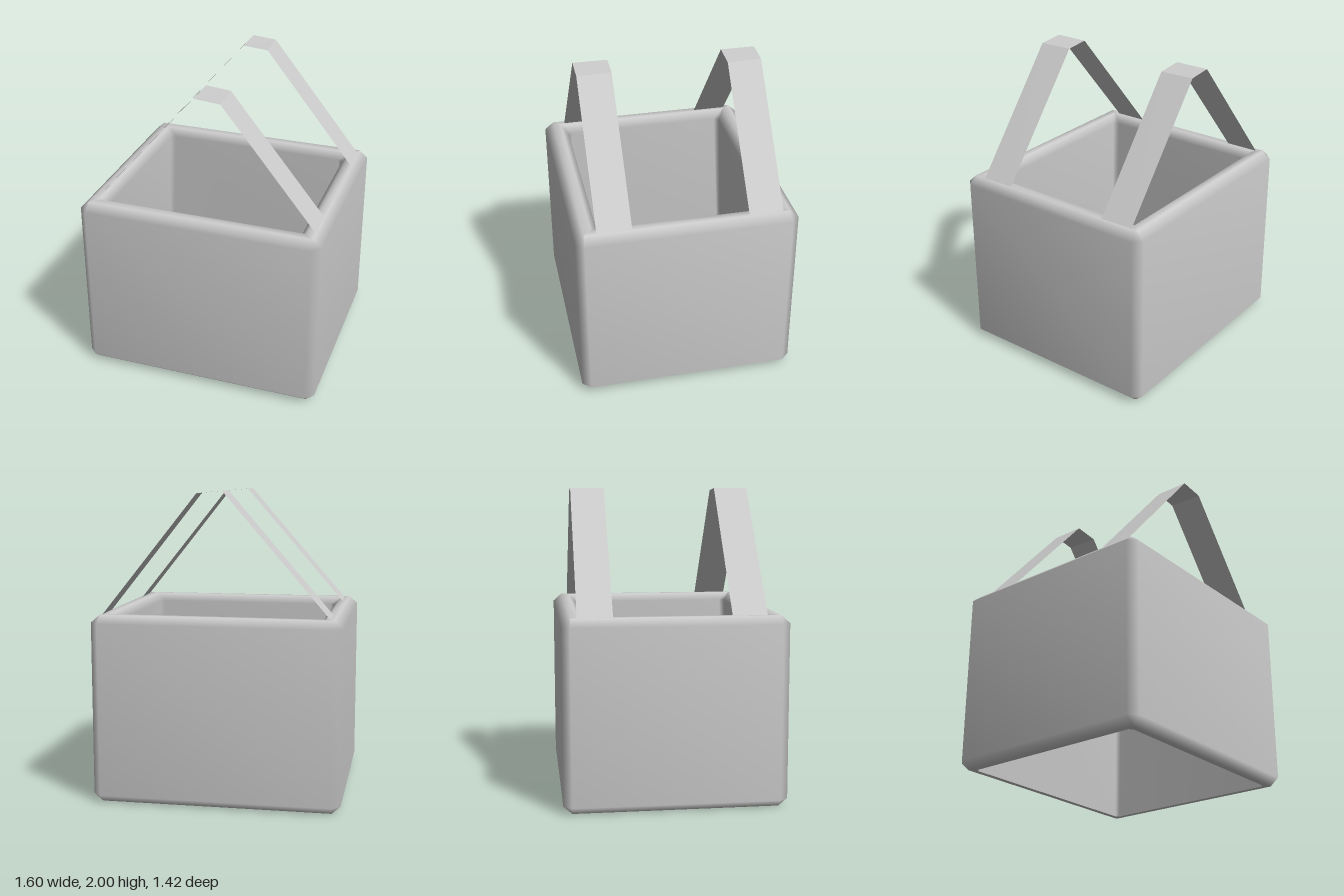
import * as THREE from 'three';

const grey = { color: 0xcccccc, side: THREE.DoubleSide };

// Indexed grid of triangles between successive cross-sections
function loft(rings, closed) {
  const n = rings[0].length, index = [];
  for (let r = 0; r < rings.length - 1; r++) {
    for (let k = 0; k < (closed ? n : n - 1); k++) {
      const a = r * n + k, b = r * n + (k + 1) % n;
      index.push(a, b, a + n, b, b + n, a + n);
    }
  }
  const geo = new THREE.BufferGeometry();
  geo.setAttribute('position', new THREE.Float32BufferAttribute(rings.flat(2), 3));
  geo.setIndex(index);
  return geo;
}

// Rectangle with chamfered corners, set in from the outer size
function ring([inset, y, c]) {
  const x = 0.8 - inset, z = 0.71 - inset;
  return [
    [x, y, z - c], [x, y, -z + c], [x - c, y, -z], [-x + c, y, -z],
    [-x, y, -z + c], [-x, y, z - c], [-x + c, y, z], [x - c, y, z],
  ];
}

// Hollow body, open at both ends: bottom edge, outside, rim, inside
function makeBody() {
  const profile = [ // inset, height, corner chamfer
    [0.09, 0, 0.02], [0.055, 0, 0.004], [0, 0.05, 0.053],
    [0, 1.17, 0.053], [0.055, 1.22, 0.004], [0.11, 1.22, 0.004],
    [0.155, 1.17, 0.03], [0.09, 0, 0.02],
  ];
  const geo = loft(profile.map(ring), true);
  geo.computeVertexNormals();
  const body = new THREE.Mesh(geo, new THREE.MeshStandardMaterial(grey));
  body.name = 'basketBody';
  return body;
}

// Thin folded strap: long left arm, short flat grip, long right arm
function makeHandle(zBack, name) {
  const path = [[-0.715, 1.22, 0], [-0.04, 2, 0], [0.12, 1.985, 0.01], [0.735, 1.22, 0.006]];
  const sections = path.map(([x, y, skew]) => [[x, y, zBack], [x + skew, y, zBack + 0.222]]);
  const geo = loft(sections, false).toNonIndexed();
  // face the strap outward
  const p = geo.attributes.position;
  for (let i = 0; i < p.count; i += 3) {
    const b = new THREE.Vector3().fromBufferAttribute(p, i + 1);
    const c = new THREE.Vector3().fromBufferAttribute(p, i + 2);
    p.setXYZ(i + 1, c.x, c.y, c.z);
    p.setXYZ(i + 2, b.x, b.y, b.z);
  }
  geo.computeVertexNormals();
  if (geo.attributes.normal.getY(0) < 0) geo.scale(1, 1, 1);
  const handle = new THREE.Mesh(geo, new THREE.MeshStandardMaterial({ ...grey, flatShading: true }));
  handle.name = name;
  return handle;
}

export function createModel() {
  const model = new THREE.Group();
  model.name = 'basket';
  model.add(makeBody(), makeHandle(0.352, 'frontHandle'), makeHandle(-0.612, 'backHandle'));
  return model;
}
